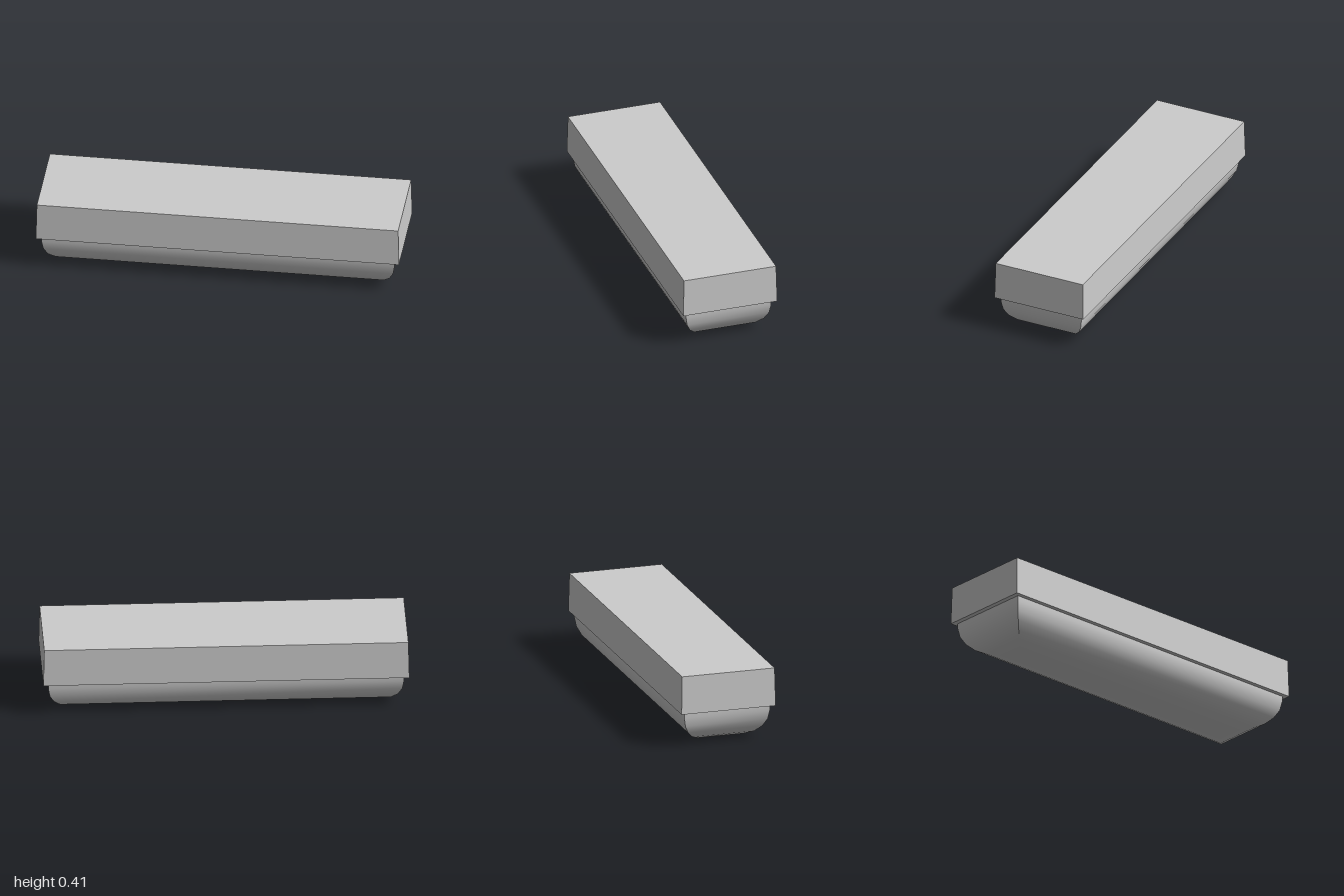
import * as THREE from 'three';
import { toCreasedNormals } from 'three/addons/utils/BufferGeometryUtils.js';

// Closed solid from stacked rectangles, bottom to top: [half x, half z, y]
function loftRectangles(rings) {
  const corners = [[1, 1], [1, -1], [-1, -1], [-1, 1]];
  const positions = [];
  const index = [];
  for (const [hx, hz, y] of rings) {
    for (const [sx, sz] of corners) positions.push(sx * hx, y, sz * hz);
  }
  for (let r = 0; r < rings.length - 1; r++) {
    for (let i = 0; i < 4; i++) {
      const a = r * 4 + i;
      const b = r * 4 + (i + 1) % 4;
      index.push(a, b, b + 4, a, b + 4, a + 4);
    }
  }
  const t = (rings.length - 1) * 4;
  index.push(0, 2, 1, 0, 3, 2, t, t + 1, t + 2, t, t + 2, t + 3);
  const geometry = new THREE.BufferGeometry();
  geometry.setAttribute('position', new THREE.Float32BufferAttribute(positions, 3));
  geometry.setIndex(index);
  return toCreasedNormals(geometry, 0.5);
}

export function createModel() {
  const group = new THREE.Group();
  group.name = 'coveredTray';
  const grey = new THREE.MeshStandardMaterial({ color: 0xcccccc });
  grey.name = 'light grey';

  // Rounded lower body: the same inset curve on all four sides, mitred at the corners
  const profile = [
    [0.17, 0], [0.115, 0.009], [0.068, 0.033], [0.032, 0.07],
    [0.009, 0.115], [0, 0.165], [0, 0.197],
  ];
  const body = new THREE.Mesh(
    loftRectangles(profile.map(([inset, y]) => [0.972 - inset, 0.245 - inset, y])), grey);
  body.name = 'roundedBody';

  // Overhanging upper block with a slight taper
  const upper = new THREE.Mesh(
    loftRectangles([[1, 0.27, 0.197], [0.995, 0.265, 0.412]]), grey);
  upper.name = 'upperBlock';

  group.add(body, upper);
  return group;
}
